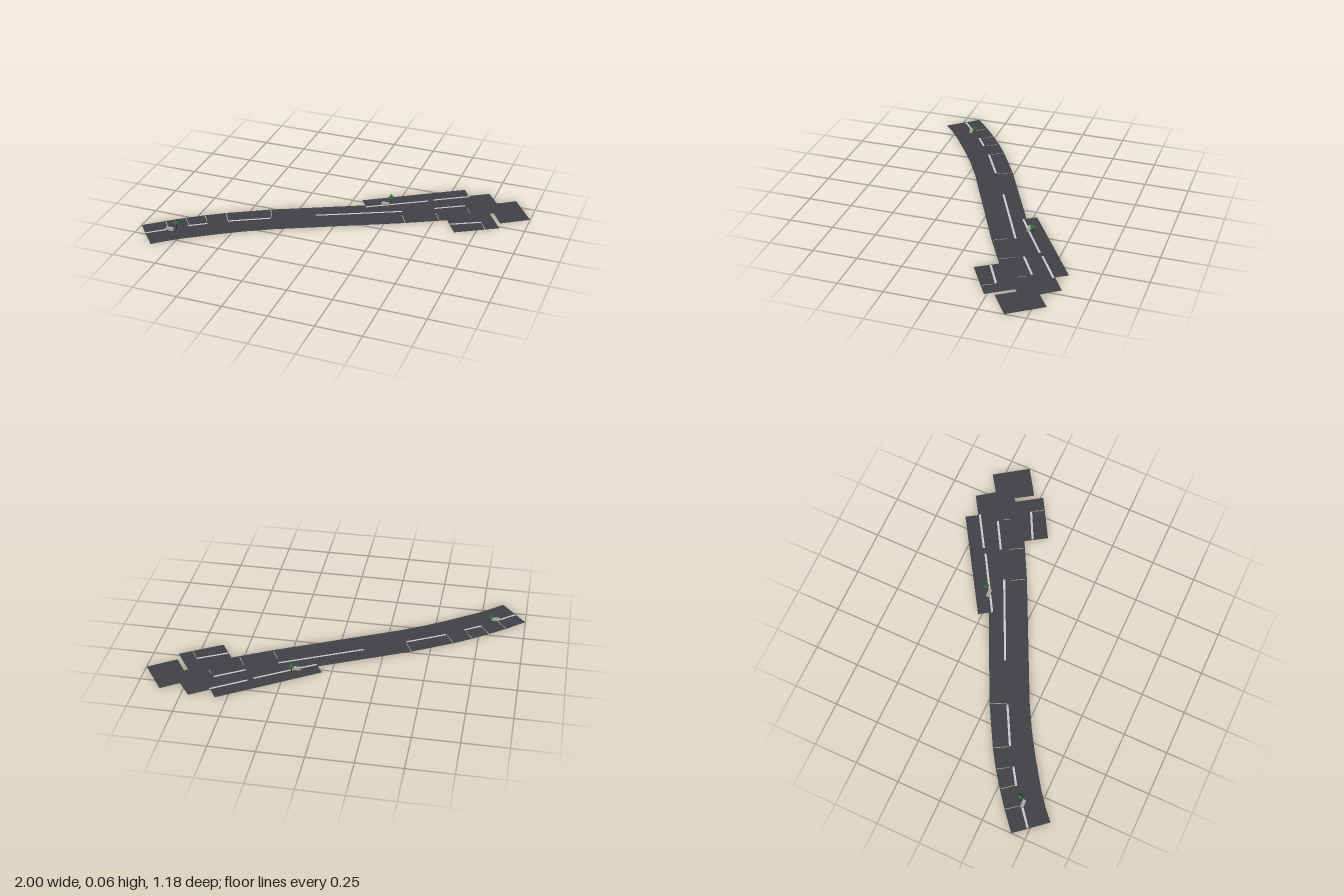
import * as THREE from 'three';

const roadMat = new THREE.MeshStandardMaterial({ color: 0x424246, side: THREE.DoubleSide });
const lineMat = new THREE.MeshStandardMaterial({ color: 0xc4c4c0 });
const greyMat = new THREE.MeshStandardMaterial({ color: 0xaaaaaa });
const leafMat = new THREE.MeshStandardMaterial({ color: 0x2f6b35, flatShading: true });
const trunkMat = new THREE.MeshStandardMaterial({ color: 0x2c2622 });

// Four corners of a thin strip between two ground points [x, z]
function strip(x1, z1, x2, z2, width) {
  const n = new THREE.Vector2(z1 - z2, x2 - x1).setLength(width / 2);
  return [[x1 + n.x, z1 + n.y], [x2 + n.x, z2 + n.y], [x2 - n.x, z2 - n.y], [x1 - n.x, z1 - n.y]];
}

const toPoints = (list) => list.map(([x, z]) => new THREE.Vector2(x, -z));

function flat(name, shape, material, y) {
  const mesh = new THREE.Mesh(new THREE.ShapeGeometry(shape).rotateX(-Math.PI / 2), material);
  mesh.name = name;
  mesh.position.y = y;
  return mesh;
}

function add(parent, name, geometry, material, x, y, z) {
  const mesh = new THREE.Mesh(geometry, material);
  mesh.name = name;
  mesh.position.set(x, y, z);
  parent.add(mesh);
}

export function createModel() {
  const model = new THREE.Group();
  model.name = 'roadSection';

  // Pavement: curved road, side lane and the stepped blocks at the far end
  const road = new THREE.Shape(toPoints([
    [-1, 0.42], [-0.9, 0.335], [-0.81, 0.265], [-0.72, 0.2], [-0.62, 0.135], [-0.4, 0.012],
    [0.085, -0.22], [0.05, -0.27], [0.565, -0.593], [0.605, -0.53], [0.71, -0.596], [0.78, -0.5],
    [0.875, -0.565], [1, -0.385], [0.853, -0.288], [0.79, -0.385], [0.772, -0.37],
    [0.862, -0.235], [0.64, -0.105], [0.567, -0.22], [0.36, -0.11],
    [-0.3, 0.208], [-0.44, 0.285], [-0.56, 0.36], [-0.72, 0.468], [-0.8, 0.53], [-0.86, 0.585],
  ]));

  // Narrow joints between slabs
  const joints = [
    [-0.895, 0.337, -0.85, 0.395], [-0.805, 0.268, -0.757, 0.326], [-0.715, 0.204, -0.676, 0.262],
    [-0.615, 0.139, -0.575, 0.209], [-0.396, 0.017, -0.356, 0.096], [0.313, -0.187, 0.356, -0.116],
    [0.484, -0.278, 0.524, -0.206], [0.639, -0.385, 0.661, -0.348], [0.753, -0.262, 0.79, -0.2],
  ];
  for (const joint of joints) road.holes.push(new THREE.Path(toPoints(strip(...joint, 0.004))));
  model.add(flat('pavement', road, roadMat, 0));

  // Painted lane lines
  const lines = [
    [-0.938, 0.487, -0.837, 0.406], [-0.757, 0.337, -0.666, 0.278], [-0.57, 0.214, -0.361, 0.102],
    [-0.136, -0.016, 0.302, -0.225], [0.094, -0.203, 0.404, -0.39], [0.43, -0.412, 0.612, -0.524],
    [0.463, -0.321, 0.618, -0.412], [0.596, -0.182, 0.751, -0.262],
  ];
  for (const line of lines) {
    model.add(flat('laneLine', new THREE.Shape(toPoints(strip(...line, 0.012))), lineMat, 0.001));
  }

  // Small trees, each with a low block beside it
  for (const [x, z, bx, bz] of [[-0.805, 0.383, -0.83, 0.411], [0.214, -0.295, 0.19, -0.267]]) {
    const tree = new THREE.Group();
    tree.name = 'tree';
    tree.position.set(x, 0, z);
    add(tree, 'trunk', new THREE.CylinderGeometry(0.002, 0.002, 0.036, 6), trunkMat, 0, 0.018, 0);
    add(tree, 'foliage', new THREE.ConeGeometry(0.016, 0.027, 6), leafMat, 0, 0.0475, 0);
    model.add(tree);
    add(model, 'roadsideBlock', new THREE.BoxGeometry(0.044, 0.014, 0.018), greyMat, bx, 0.007, bz);
  }

  return model;
}
